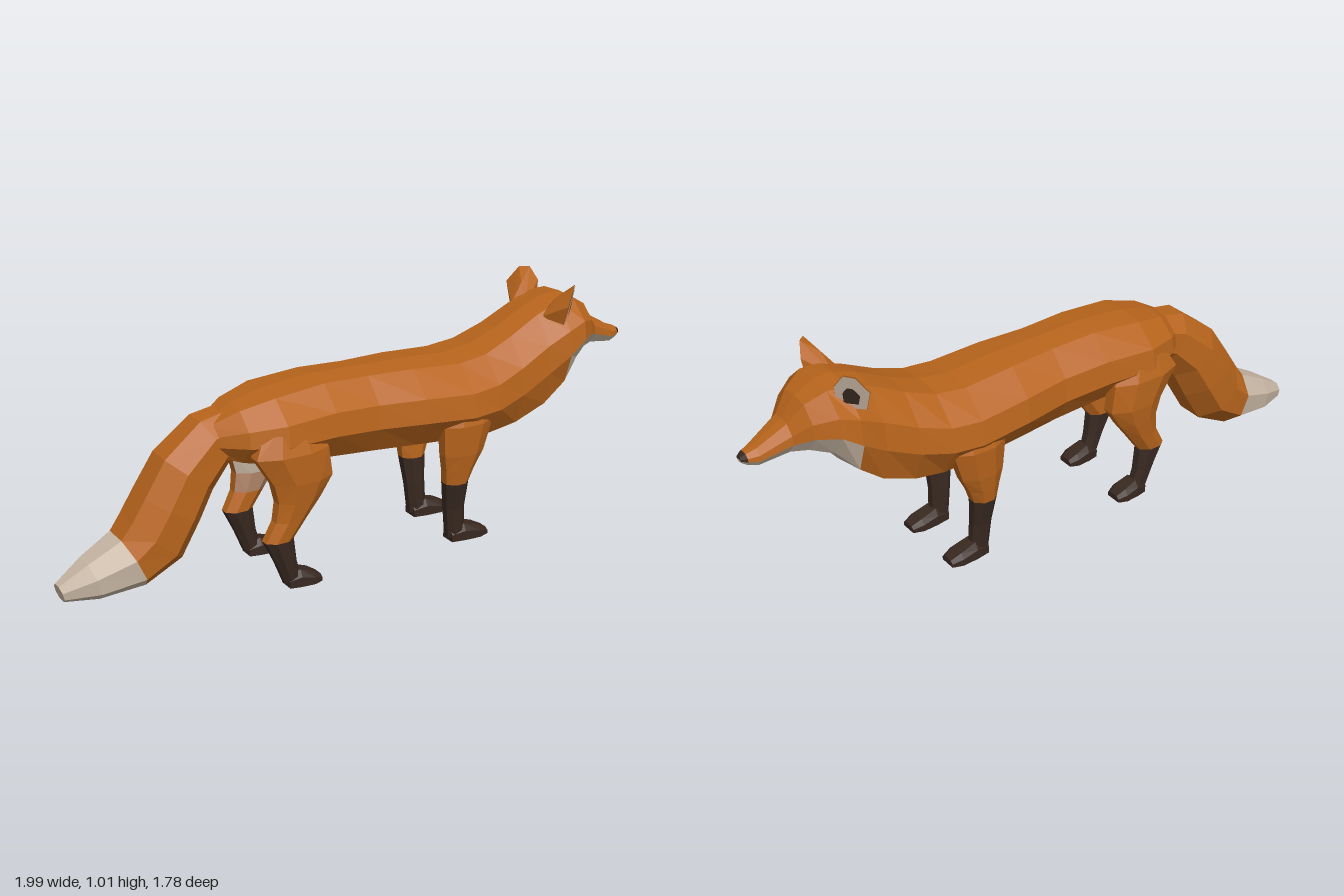
import * as THREE from 'three';
import { ConvexGeometry } from 'three/addons/geometries/ConvexGeometry.js';

const flat = (name, color) => {
  const m = new THREE.MeshStandardMaterial({ color });
  m.name = name;
  return m;
};

export function createModel() {
  const mats = [
    flat('orangeFur', 0xb7641c), flat('creamFur', 0xc6b5a3),
    flat('darkFur', 0x382820), flat('pinkFur', 0xb08468),
  ];
  const [ORANGE, CREAM, DARK, PINK] = [0, 1, 2, 3];
  const V = (x, y, z) => new THREE.Vector3(x, y, z);
  const fox = new THREE.Group();
  fox.name = 'fox';

  // Faceted skin through rings of equal point count; pick(i, j) gives the colour of a facet
  function loft(name, rings, pick) {
    const byColour = mats.map(() => []);
    const tris = [];
    const n = rings[0].length, last = rings.length - 1;
    const mid = (r) => r.reduce((s, p) => s.add(p), V(0, 0, 0)).divideScalar(n);
    for (let i = 0; i < last; i++) {
      for (let j = 0; j < n; j++) {
        const k = (j + 1) % n, c = pick(i, j);
        const a = rings[i][j], b = rings[i][k], d = rings[i + 1][j], e = rings[i + 1][k];
        tris.push([c, a, b, e], [c, a, e, d]);
      }
    }
    const m0 = mid(rings[0]), m1 = mid(rings[last]);
    for (let j = 0; j < n; j++) {
      const k = (j + 1) % n;
      tris.push([pick(0, j), m0, rings[0][k], rings[0][j]]);
      tris.push([pick(last - 1, j), m1, rings[last][j], rings[last][k]]);
    }
    // Signed volume decides the corner order
    let volume = 0;
    for (const [, a, b, c] of tris) volume += a.dot(b.clone().cross(c));
    for (const [col, a, b, c] of tris) byColour[col].push(...(volume > 0 ? [a, b, c] : [a, c, b]));
    const g = new THREE.BufferGeometry().setFromPoints(byColour.flat());
    let start = 0;
    byColour.forEach((pts, c) => {
      if (pts.length) g.addGroup(start, pts.length, c);
      start += pts.length;
    });
    g.computeVertexNormals();
    const mesh = new THREE.Mesh(g, mats);
    mesh.name = name;
    fox.add(mesh);
  }

  // Cross-sections: share of the half width, share of the drop from top to bottom
  const bodyProfile = (low) => {
    const half = [[0.5, 0.03], [0.93, 0.3], [1, 0.57], [low, 0.9]];
    return [[0, 0], ...half, [0, 1], ...half.reverse().map(([w, d]) => [-w, d])];
  };
  const pawProfile = [[0.6, 0], [1, 0.4], [1, 1], [-1, 1], [-1, 0.4], [-0.6, 0]];
  const section = (profile, [u, top, bottom, w], v) =>
    profile.map(([a, d]) => V(u, top + (bottom - top) * d, v + a * w));

  // Torso, neck, head and muzzle in one skin:
  // length position, top, bottom, half width, width of the lower corners
  const body = [
    [-0.67, 0.685, 0.55, 0.08], [-0.56, 0.745, 0.51, 0.175], [-0.42, 0.78, 0.475, 0.23],
    [-0.2, 0.798, 0.455, 0.215], [0, 0.79, 0.435, 0.205], [0.2, 0.785, 0.425, 0.235],
    [0.42, 0.77, 0.41, 0.25], [0.55, 0.785, 0.41, 0.24, 0.68], [0.68, 0.835, 0.425, 0.215, 0.75],
    [0.82, 0.905, 0.48, 0.2, 0.83], [0.92, 0.94, 0.565, 0.21, 0.8], [1.0, 0.94, 0.66, 0.2, 0.7],
    [1.08, 0.895, 0.685, 0.14], [1.14, 0.82, 0.69, 0.085], [1.26, 0.75, 0.672, 0.052],
    [1.3, 0.735, 0.685, 0.035], [1.32, 0.722, 0.7, 0.018],
  ];
  loft('body', body.map((r) => section(bodyProfile(r[4] ?? 0.62), r, 0)), (i, j) => {
    if (i === 15) return j > 2 && j < 7 ? CREAM : DARK;
    if (i > 0 && (j === 4 || j === 5)) return CREAM;
    return i >= 10 && (j === 3 || j === 6) ? CREAM : ORANGE;
  });

  // Octagonal ring in the plane of two axes
  const octagon = (centre, axisA, a, axisB, b) => Array.from({ length: 8 }, (_, j) => {
    const t = (j + 0.5) * Math.PI / 4;
    return centre.clone().addScaledVector(axisA, a * 1.06 * Math.cos(t))
      .addScaledVector(axisB, b * 1.06 * Math.sin(t));
  });

  // Tail: length position, height, half thickness, half width
  const tail = [
    [-0.5, 0.65, 0.09, 0.1], [-0.64, 0.605, 0.115, 0.115], [-0.755, 0.5, 0.13, 0.135],
    [-0.83, 0.375, 0.135, 0.145], [-0.9, 0.26, 0.14, 0.145], [-1.0, 0.19, 0.115, 0.135],
    [-1.16, 0.145, 0.08, 0.1], [-1.285, 0.115, 0.035, 0.045],
  ];
  const tailRings = tail.map(([u, y, h, w], i) => {
    const p = tail[Math.max(i - 1, 0)], q = tail[Math.min(i + 1, tail.length - 1)];
    const normal = V(p[1] - q[1], q[0] - p[0], 0).normalize();
    return octagon(V(u, y, -0.02), normal, h, V(0, 0, 1), w);
  });
  loft('tail', tailRings, (i) => (i >= 5 ? CREAM : ORANGE));

  // Legs: height, length position, half depth, side position, half width
  const frontLeg = [
    [0.64, 0.42, 0.09, 0.15, 0.06], [0.53, 0.415, 0.12, 0.18, 0.062], [0.4, 0.4, 0.095, 0.178, 0.054],
    [0.33, 0.388, 0.07, 0.172, 0.05], [0.27, 0.38, 0.055, 0.165, 0.048],
    [0.15, 0.385, 0.044, 0.15, 0.04], [0.02, 0.395, 0.04, 0.145, 0.036],
  ];
  const hindLeg = [
    [0.69, -0.4, 0.09, 0.14, 0.06], [0.57, -0.395, 0.16, 0.18, 0.062],
    [0.45, -0.35, 0.13, 0.18, 0.062], [0.37, -0.365, 0.095, 0.178, 0.055],
    [0.29, -0.4, 0.07, 0.174, 0.048], [0.21, -0.45, 0.062, 0.17, 0.044],
    [0.11, -0.42, 0.044, 0.17, 0.038], [0.02, -0.39, 0.038, 0.168, 0.035],
  ];
  // Paw: offset from the ankle, top, bottom, half width
  const paw = [[-0.03, 0.05, 0, 0.034], [0.03, 0.07, 0, 0.045], [0.1, 0.048, 0, 0.05], [0.145, 0.025, 0, 0.036]];

  function addLeg(name, rows, side, socks, pinkRow, pawLength) {
    const rings = rows.map(([y, u, du, v, dv]) =>
      octagon(V(u, y, side * v), V(1, 0, 0), du, V(0, 0, side), dv));
    loft(name + 'Leg', rings, (i, j) => {
      if (i >= socks) return DARK;
      const inner = j >= 4 && j <= 6;
      if (!inner || i > pinkRow) return ORANGE;
      return i === pinkRow ? PINK : CREAM;
    });
    const [, u, , v] = rows[rows.length - 1];
    const pawRings = paw.map(([o, t, b, w]) =>
      section(pawProfile, [u + o * pawLength, t, b, w], side * v));
    loft(name + 'Paw', pawRings, () => DARK);
  }

  // Ear outline seen from its open side
  const outline = [[-0.06, 0], [0.055, 0], [0.075, 0.085], [0.025, 0.15], [-0.02, 0.155], [-0.06, 0.1]];
  function addEar(name, side) {
    const ear = new THREE.Group();
    ear.name = name;
    const pts = outline.map(([x, y]) => [-side * x, y]);
    const shell = new THREE.Mesh(new ConvexGeometry([
      ...pts.map(([x, y]) => V(x, y, 0)),
      V(-0.03, 0, -0.1), V(0.03, 0, -0.1), V(0, 0.09, -0.06),
    ]), mats[ORANGE]);
    shell.name = 'earShell';
    ear.add(shell);
    const plate = (label, mat, scale, z) => {
      const shape = new THREE.Shape(pts.map(([x, y]) =>
        new THREE.Vector2(x * scale, 0.05 + (y - 0.05) * scale)));
      const m = new THREE.Mesh(new THREE.ShapeGeometry(shape), mat);
      m.name = label;
      m.position.z = z;
      ear.add(m);
    };
    plate('earLining', mats[CREAM], 0.97, 0.003);
    plate('earHollow', mats[DARK], 0.48, 0.006);
    ear.position.set(0.925, 0.86, side * 0.15);
    ear.rotation.set(0.2, Math.atan2(0.72, 0.69 * side), 0, 'YXZ');
    fox.add(ear);
  }

  for (const [label, side] of [['right', 1], ['left', -1]]) {
    addLeg(label + 'Front', frontLeg, side, 4, 2, 1);
    addLeg(label + 'Hind', hindLeg, side, 5, 3, 0.82);
    addEar(label + 'Ear', side);
  }

  // The animal stands diagonally
  fox.rotation.y = THREE.MathUtils.degToRad(42);
  const model = new THREE.Group();
  model.name = 'foxModel';
  model.add(fox);
  model.updateMatrixWorld(true);
  const centre = new THREE.Box3().setFromObject(model, true).getCenter(V(0, 0, 0));
  fox.position.set(-centre.x, 0, -centre.z);
  return model;
}
